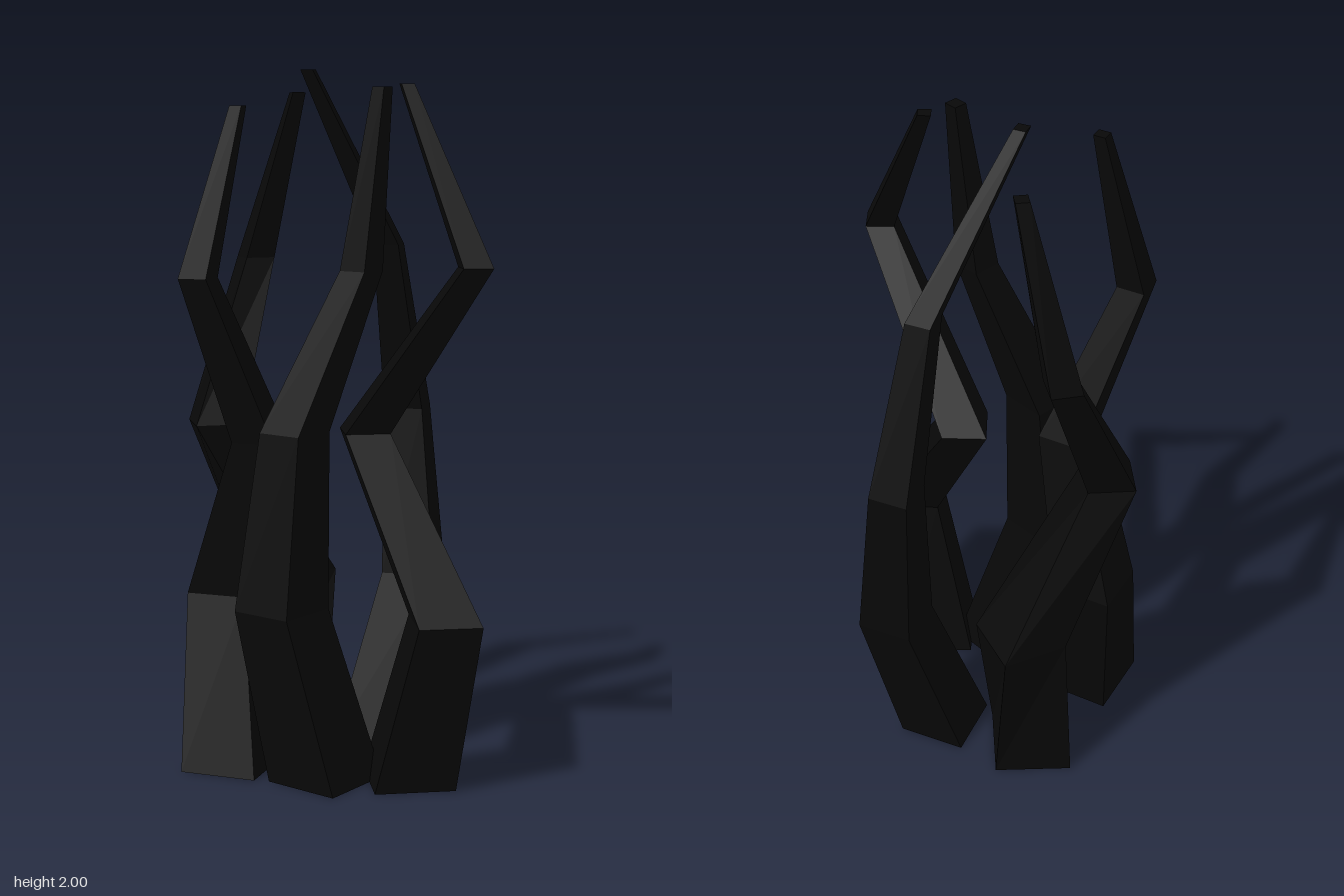
import * as THREE from 'three';

// Each ring is a square section: [x, y, z, corner radius, turn in degrees], from root to tip.
const tendrils = {
  leftTendril: [
    [-0.33, 0, -0.075, 0.16, -4], [-0.34, 0.5, -0.138, 0.137, -27],
    [-0.405, 0.98, 0.135, 0.096, -6], [-0.46, 1.45, -0.12, 0.062, -14],
    [-0.295, 1.94, -0.12, 0.027, -10]],
  frontLeftTendril: [
    [-0.236, 0, 0.268, 0.16, 27], [-0.317, 0.5, 0.19, 0.125, 27],
    [-0.16, 0.96, 0.22, 0.09, 27], [-0.237, 1.43, 0.393, 0.059, 27],
    [-0.155, 1.9, 0.313, 0.025, 27]],
  backTendril: [
    [-0.073, 0, -0.197, 0.14, 22], [-0.03, 0.5, -0.347, 0.113, 22],
    [-0.065, 1.0, -0.36, 0.082, 22], [-0.038, 1.5, -0.225, 0.053, 22],
    [-0.115, 2.0, 0.055, 0.025, 22]],
  frontTendril: [
    [0.06, 0, 0.205, 0.163, 45], [-0.03, 0.5, 0.289, 0.132, 45],
    [-0.02, 1.0, 0.24, 0.098, 45], [0.122, 1.45, 0.12, 0.06, 45],
    [0.165, 1.95, 0.082, 0.028, 45]],
  rightTendril: [
    [0.25, 0, 0.0625, 0.1625, 0], [0.385, 0.49, 0.08, 0.126, 0],
    [0.045, 0.98, 0, 0.091, 0], [0.458, 1.47, 0.055, 0.058, 0],
    [0.17, 1.96, -0.025, 0.026, 0]],
};

// Bends a capped four-sided column through the rings.
function bentColumn(rings) {
  const last = rings.length - 1;
  const geo = new THREE.CylinderGeometry(1, 1, last, 4, last);
  const p = geo.attributes.position;
  for (let i = 0; i < p.count; i++) {
    const [x, y, z, radius, turn] = rings[Math.round(p.getY(i) + last / 2)];
    const a = THREE.MathUtils.degToRad(turn);
    const c = radius * Math.cos(a), s = radius * Math.sin(a);
    const px = p.getX(i), pz = p.getZ(i);
    p.setXYZ(i, x + px * c - pz * s, y, z + px * s + pz * c);
  }
  geo.computeVertexNormals();
  return geo;
}

export function createModel() {
  const model = new THREE.Group();
  model.name = 'twistedTendrils';
  const black = new THREE.MeshStandardMaterial({ color: 0x080808, flatShading: true });
  black.name = 'charcoal black';
  for (const [name, rings] of Object.entries(tendrils)) {
    const mesh = new THREE.Mesh(bentColumn(rings), black);
    mesh.name = name;
    model.add(mesh);
  }
  return model;
}
